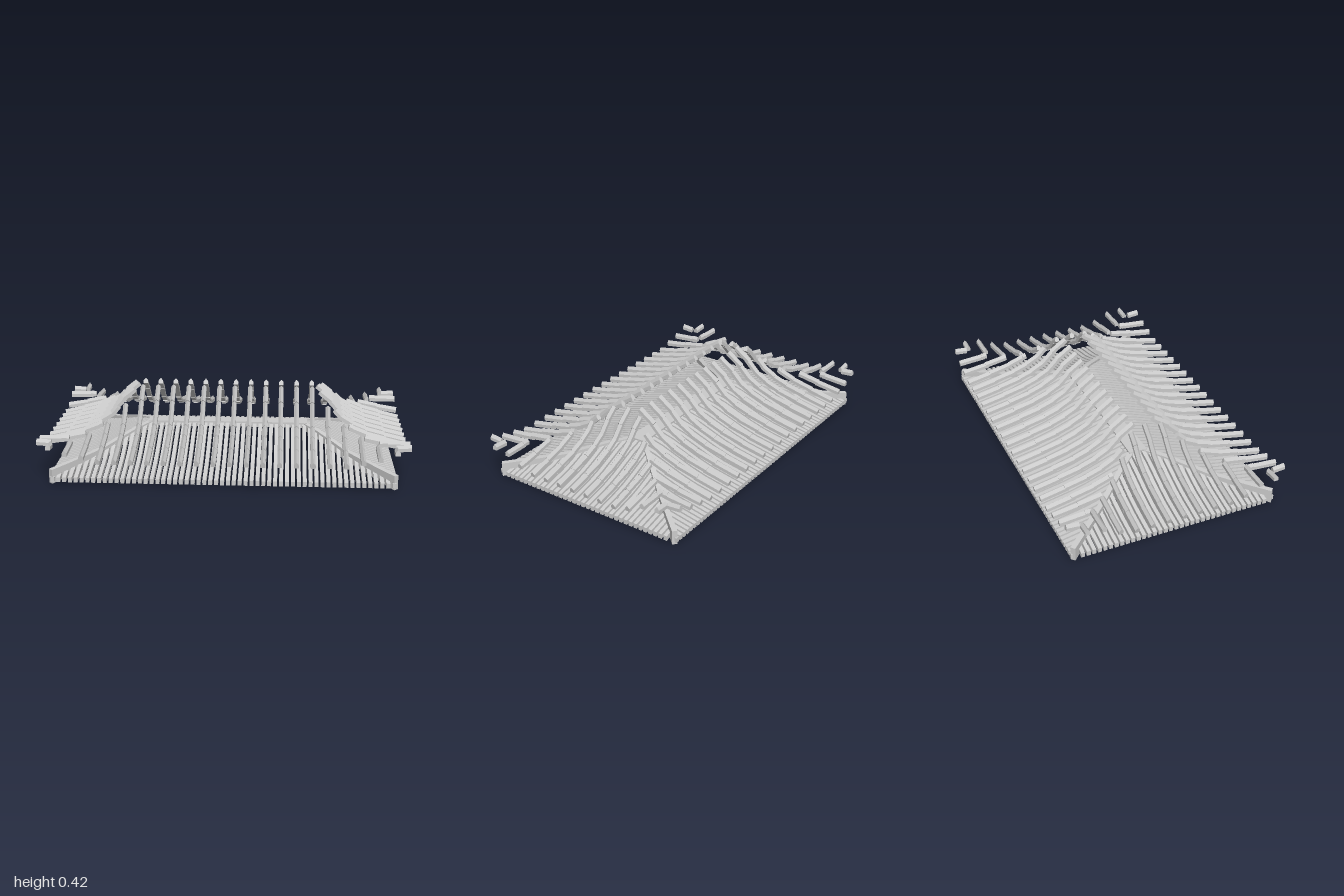
import * as THREE from 'three';
import { mergeGeometries } from 'three/addons/utils/BufferGeometryUtils.js';

const Y = new THREE.Vector3(0, 1, 0);
const ZC = -0.012; // centre line of the timber frame

// piecewise-linear lookup through [t, value] pairs
function lerpTable(table, t) {
  for (let i = 1; i < table.length; i++) {
    const [t0, a] = table[i - 1], [t1, b] = table[i];
    if (t <= t1) return a + (b - a) * (t - t0) / (t1 - t0);
  }
  return table[table.length - 1][1];
}

// sweep a section along points; section(i) gives counter-clockwise [side, up] pairs
function sweep(points, section, tilted) {
  const pos = [], rings = points.map((p, i) => {
    const T = points[Math.min(i + 1, points.length - 1)].clone().sub(points[Math.max(i - 1, 0)]).normalize();
    const side = Y.clone().cross(T).normalize();
    const up = tilted ? T.clone().cross(side) : Y;
    return section(i).map(([s, u]) => p.clone().addScaledVector(side, s).addScaledVector(up, u));
  });
  const tri = (...v) => v.forEach((q) => pos.push(q.x, q.y, q.z));
  const n = rings[0].length;
  for (let i = 0; i + 1 < rings.length; i++) {
    for (let j = 0; j < n; j++) {
      const k = (j + 1) % n, A = rings[i], B = rings[i + 1];
      tri(A[j], A[k], B[k]);
      tri(A[j], B[k], B[j]);
    }
  }
  const first = rings[0], last = rings[rings.length - 1];
  for (let j = 1; j + 1 < n; j++) {
    tri(first[0], first[j + 1], first[j]);
    tri(last[0], last[j], last[j + 1]);
  }
  const g = new THREE.BufferGeometry();
  g.setAttribute('position', new THREE.Float32BufferAttribute(pos, 3));
  g.computeVertexNormals();
  return g;
}

const bar = (w, down, up = 0) => [[-w, -down], [w, -down], [w, up], [-w, up]];

// rafter top height, eave (0) to ridge (1)
const RAFTER = [[0, 0.042], [0.12, 0.055], [0.35, 0.08], [0.5, 0.105], [0.65, 0.135], [0.82, 0.17], [1, 0.195]];
// underside of the tile rows, ridge (0) to eave (1)
const TILE = [[0, 0.4], [0.155, 0.335], [0.26, 0.265], [0.38, 0.23], [0.535, 0.195], [0.74, 0.165], [1, 0.13]];
const JOINTS = [[0, 0.16], [0.13, 0.27], [0.24, 0.39], [0.37, 0.54], [0.52, 0.76], [0.73, 1]];
const TILE_SECTION = [[-0.013, 0], [0.013, 0], [0.013, 0.018], [0, 0.034], [-0.013, 0.018]];

// one rafter from the eave up to the hip or ridge; at(t, y) places a point
function rafter(tEnd, at) {
  const pts = [];
  for (let i = 0; i <= 6; i++) {
    const t = tEnd * i / 6;
    pts.push(at(t, lerpTable(RAFTER, t)));
  }
  return sweep(pts, () => bar(0.0105, 0.027), false);
}

// one row of overlapping tiles from s = sMin down to the eave, lifted towards the corner
function tileRow(sMin, lift, at) {
  const height = (s) => lerpTable(TILE, s) + lift * s * s;
  return JOINTS.filter(([, b]) => b > sMin + 0.03).map(([a, b]) => {
    const s0 = Math.max(a, sMin);
    return sweep([at(s0, height(s0)), at(b, height(b) + 0.005)], () => TILE_SECTION, true);
  });
}

export function createModel() {
  const model = new THREE.Group();
  const material = new THREE.MeshStandardMaterial({ color: 0xcccccc, flatShading: true });
  const add = (name, geometry) => {
    const mesh = new THREE.Mesh(geometry, material);
    mesh.name = name;
    model.add(mesh);
  };

  for (const sign of [1, -1]) {
    // rafters and tile rows of the long slopes
    const long = [], longTiles = [];
    for (let i = -29; i <= 29; i++) {
      const x = i * 0.0313, tEnd = Math.min(1, (0.93 - Math.abs(x)) / 0.48);
      if (tEnd > 0.03) long.push(rafter(tEnd, (t, y) => new THREE.Vector3(x, y, ZC + sign * (0.588 - 0.55 * t))));
    }
    for (let i = 0; i < 22; i++) {
      const x = (i - 10.5) * 0.0871, sMin = Math.max(0, (Math.abs(x) - 0.48) / 0.435 * 0.88);
      const lift = [0.075, 0.04, 0.02][Math.min(i, 21 - i)] || 0;
      longTiles.push(...tileRow(sMin, lift, (s, y) => new THREE.Vector3(x, y, sign * (0.05 + 0.575 * s))));
    }
    const long_ = sign > 0 ? 'front' : 'back';
    add(long_ + 'Rafters', mergeGeometries(long));
    add(long_ + 'TileRows', mergeGeometries(longTiles));

    // rafters and tile rows of the hipped ends
    const short = [], shortTiles = [];
    for (let i = -17; i <= 17; i++) {
      const z = i * 0.031, tEnd = Math.min(1, (0.58 - Math.abs(z)) / 0.55);
      short.push(rafter(tEnd, (t, y) => new THREE.Vector3(sign * (0.93 - 0.48 * t), y, ZC + z)));
    }
    for (let i = 0; i < 13; i++) {
      const z = (i - 6) * 0.089 - 0.004, sMin = Math.max(0, (Math.abs(z) - 0.07) / 0.46 * 0.84);
      const lift = [0.075, 0.065, 0.02][Math.min(i, 12 - i)] || 0;
      shortTiles.push(...tileRow(sMin, lift, (s, y) => new THREE.Vector3(sign * (0.5 + 0.495 * s), y, z)));
    }
    const short_ = sign > 0 ? 'left' : 'right';
    add(short_ + 'Rafters', mergeGeometries(short));
    add(short_ + 'TileRows', mergeGeometries(shortTiles));

    // curved hip beams, deeper at the corners
    for (const end of [1, -1]) {
      const depth = [0.078, 0.068, 0.06, 0.055, 0.05, 0.045, 0.04];
      const pts = depth.map((d, i) => {
        const t = i / 6;
        const y = lerpTable([[0, 0.083], [0.25, 0.1], [0.5, 0.123], [0.8, 0.178], [1, 0.2]], t);
        return new THREE.Vector3(sign * (0.918 - 0.478 * t), y, ZC + end * (0.578 - 0.545 * t));
      });
      add(short_ + (end > 0 ? 'Front' : 'Back') + 'HipBeam', sweep(pts, (i) => bar(0.014, depth[i]), false));
    }
  }

  // ridge plank, slightly waisted
  const half = [[-0.455, 0.052], [-0.2, 0.046], [0, 0.043], [0.2, 0.046], [0.455, 0.052]];
  const outline = [...half.map(([x, z]) => [x, -z]), ...half.map(([x, z]) => [x, z]).reverse()];
  const ridge = new THREE.ExtrudeGeometry(new THREE.Shape(outline.map(([x, y]) => new THREE.Vector2(x, y))),
    { depth: 0.03, bevelEnabled: false });
  ridge.rotateX(-Math.PI / 2).translate(0, 0.172, ZC);
  add('ridgePlank', ridge);

  return model;
}
